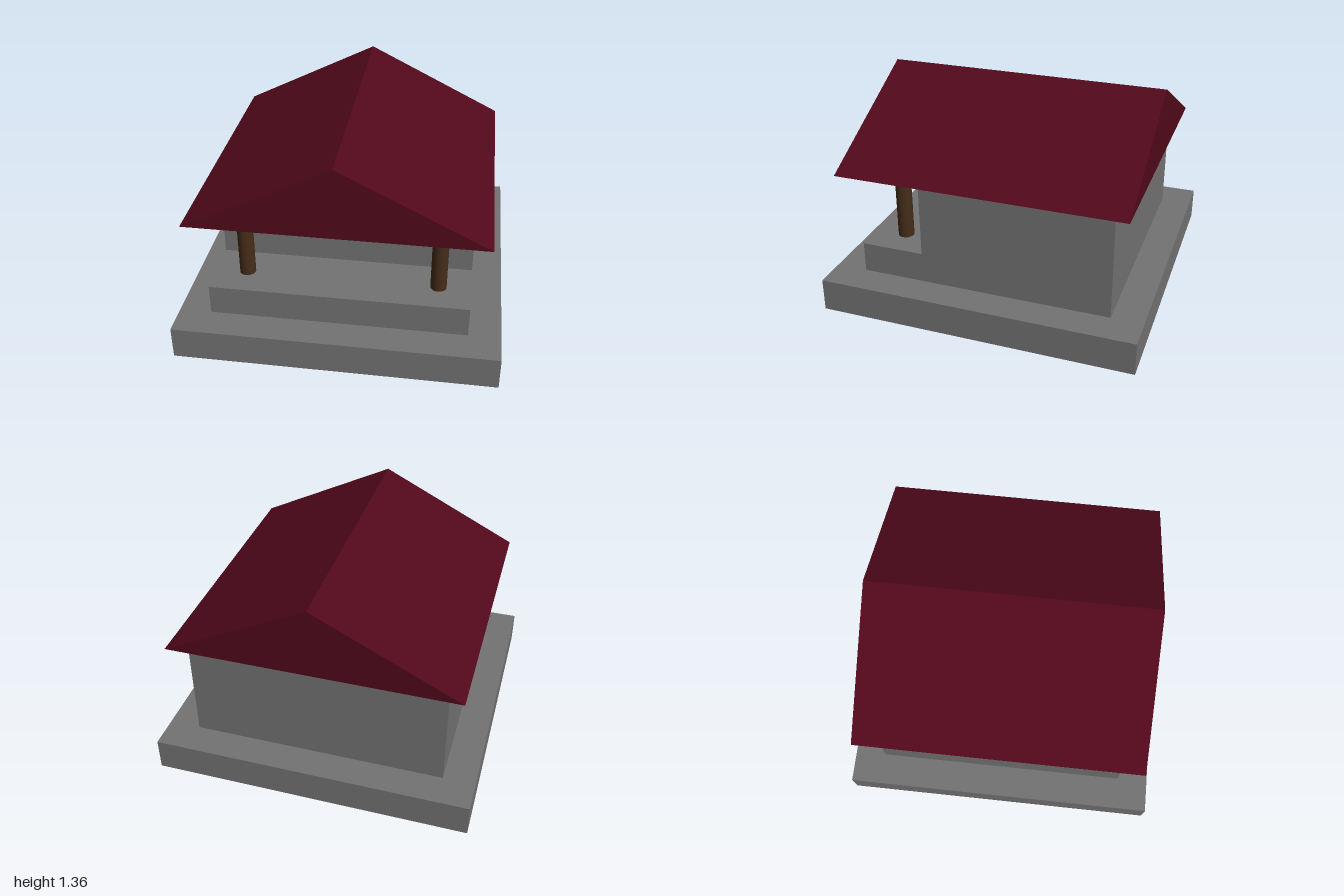
import * as THREE from 'three';

const stone = new THREE.MeshStandardMaterial({ color: 0x737373 });
const wood = new THREE.MeshStandardMaterial({ color: 0x462d19 });
const tile = new THREE.MeshStandardMaterial({ color: 0x52081b });

function addMesh(group, name, geometry, material, x, y, z) {
  const mesh = new THREE.Mesh(geometry, material);
  mesh.name = name;
  mesh.position.set(x, y, z);
  group.add(mesh);
}

// Box given by width, bottom and top heights, back and front depths
function addBlock(group, name, width, y0, y1, z0, z1) {
  const geometry = new THREE.BoxGeometry(width, y1 - y0, z1 - z0);
  addMesh(group, name, geometry, stone, 0, (y0 + y1) / 2, (z0 + z1) / 2);
}

export function createModel() {
  const group = new THREE.Group();
  group.name = 'house';
  const baseTop = 0.21, porchTop = 0.405, eaves = 0.905, ridge = 1.355;

  // Stepped base and walls
  addBlock(group, 'base', 2, 0, baseTop, -1, 1);
  addBlock(group, 'porch', 1.6, baseTop, porchTop, 0.4, 0.8);
  addBlock(group, 'walls', 1.6, baseTop, eaves, -0.8, 0.4);

  // Porch pillars
  const pillar = new THREE.CylinderGeometry(0.05, 0.05, eaves - porchTop, 32);
  for (const [name, x] of [['leftPillar', 0.6], ['rightPillar', -0.6]]) {
    addMesh(group, name, pillar, wood, x, (eaves + porchTop) / 2, 0.6);
  }

  // Gabled roof, a solid triangular prism
  const gable = new THREE.Shape();
  gable.moveTo(-0.9, eaves);
  gable.lineTo(0.9, eaves);
  gable.lineTo(0, ridge);
  gable.closePath();
  const roof = new THREE.ExtrudeGeometry(gable, { depth: 1.8, bevelEnabled: false });
  addMesh(group, 'roof', roof, tile, 0, 0, -0.9);

  return group;
}
